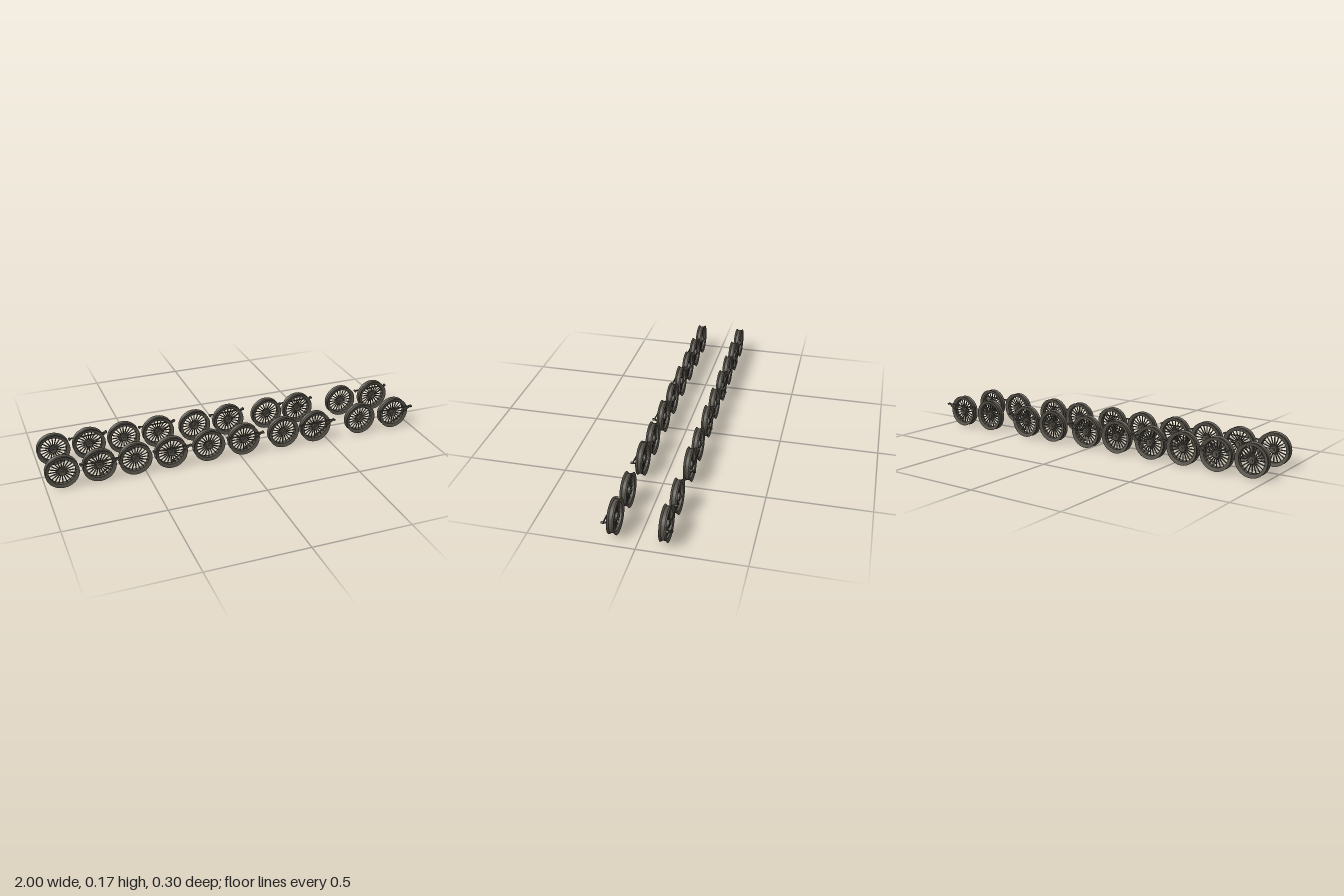
import * as THREE from 'three';
import { toCreasedNormals, mergeGeometries } from 'three/addons/utils/BufferGeometryUtils.js';

const R = 0.084, CY = 0.086, CZ = 0.117, HALF = 0.017;
const iron = new THREE.MeshStandardMaterial({ color: 0x57534a });

// Grooved tyre: flared lips either side of a flat tread, open in the middle
function tyreGeometry() {
  const profile = [
    [0.066, -0.012], [0.076, -0.015], [R, -HALF], [0.077, -0.008], [0.077, 0.008],
    [R, HALF], [0.076, 0.015], [0.066, 0.012], [0.066, -0.012],
  ].map(([r, z]) => new THREE.Vector2(r, z));
  const g = new THREE.LatheGeometry(profile, 32);
  g.rotateX(Math.PI / 2);
  return toCreasedNormals(g, 0.5);
}

// Ring of thin tapering spokes
function spokesGeometry(count = 20) {
  const spokes = [];
  for (let i = 0; i < count; i++) {
    const g = new THREE.CylinderGeometry(0.0028, 0.0034, 0.054, 6);
    g.translate(0, 0.041, 0);
    g.rotateZ((i / count) * Math.PI * 2);
    spokes.push(g);
  }
  return mergeGeometries(spokes);
}

function discGeometry(radius, depth, sides = 16) {
  return new THREE.CylinderGeometry(radius, radius, depth, sides).rotateX(Math.PI / 2);
}

const geo = {
  tyre: tyreGeometry(),
  spokes: spokesGeometry(),
  hub: discGeometry(0.018, 0.028),
  cap: discGeometry(0.008, 0.038),
  pin: discGeometry(0.006, 0.014, 12),
  knob: discGeometry(0.006, 0.013, 12),
};

function add(parent, name, geometry, x = 0, y = 0, z = 0) {
  const m = new THREE.Mesh(geometry, iron);
  m.name = name;
  m.position.set(x, y, z);
  parent.add(m);
  return m;
}

function createWheel(x, side) {
  const wheel = new THREE.Group();
  wheel.name = 'wheel';
  wheel.position.set(x, CY, side * CZ);
  add(wheel, 'tyre', geo.tyre);
  add(wheel, 'spokes', geo.spokes);
  add(wheel, 'hub', geo.hub);
  add(wheel, 'hubCap', geo.cap);
  return wheel;
}

// Flat bar between two points in the plane of the rods
function addBar(parent, name, [x0, y0], [x1, y1], height, z) {
  const length = Math.hypot(x1 - x0, y1 - y0);
  const bar = add(parent, name, new THREE.BoxGeometry(length, height, 0.004),
    (x0 + x1) / 2, (y0 + y1) / 2, z);
  bar.rotation.z = Math.atan2(y1 - y0, x1 - x0);
}

// Rods on the outer face of a driven wheel
function createRods(x, side) {
  const rods = new THREE.Group();
  rods.name = 'driveRods';
  rods.position.x = x;
  const left = [-0.094, 0.115], right = [0.097, 0.119], crank = [0, 0.045];
  addBar(rods, 'sideRod', left, right, 0.007, side * 0.141);
  addBar(rods, 'connectingRod', crank, right, 0.007, side * 0.1405);
  add(rods, 'crankPin', geo.pin, crank[0], crank[1], side * 0.138);
  add(rods, 'leftJoint', geo.pin, left[0], left[1], side * 0.138);
  add(rods, 'rightJoint', geo.knob, right[0], right[1], side * 0.1445);
  return rods;
}

export function createModel() {
  const model = new THREE.Group();
  model.name = 'wheelSets';
  const centres = [-0.916, -0.733, -0.551, -0.367, -0.166, 0.024, 0.246, 0.43, 0.695, 0.896];
  for (const side of [1, -1]) {
    centres.forEach((x, i) => {
      model.add(createWheel(x, side));
      // the second wheel of each pair is driven
      if (i % 2 === 1) model.add(createRods(x, side));
    });
  }
  return model;
}
